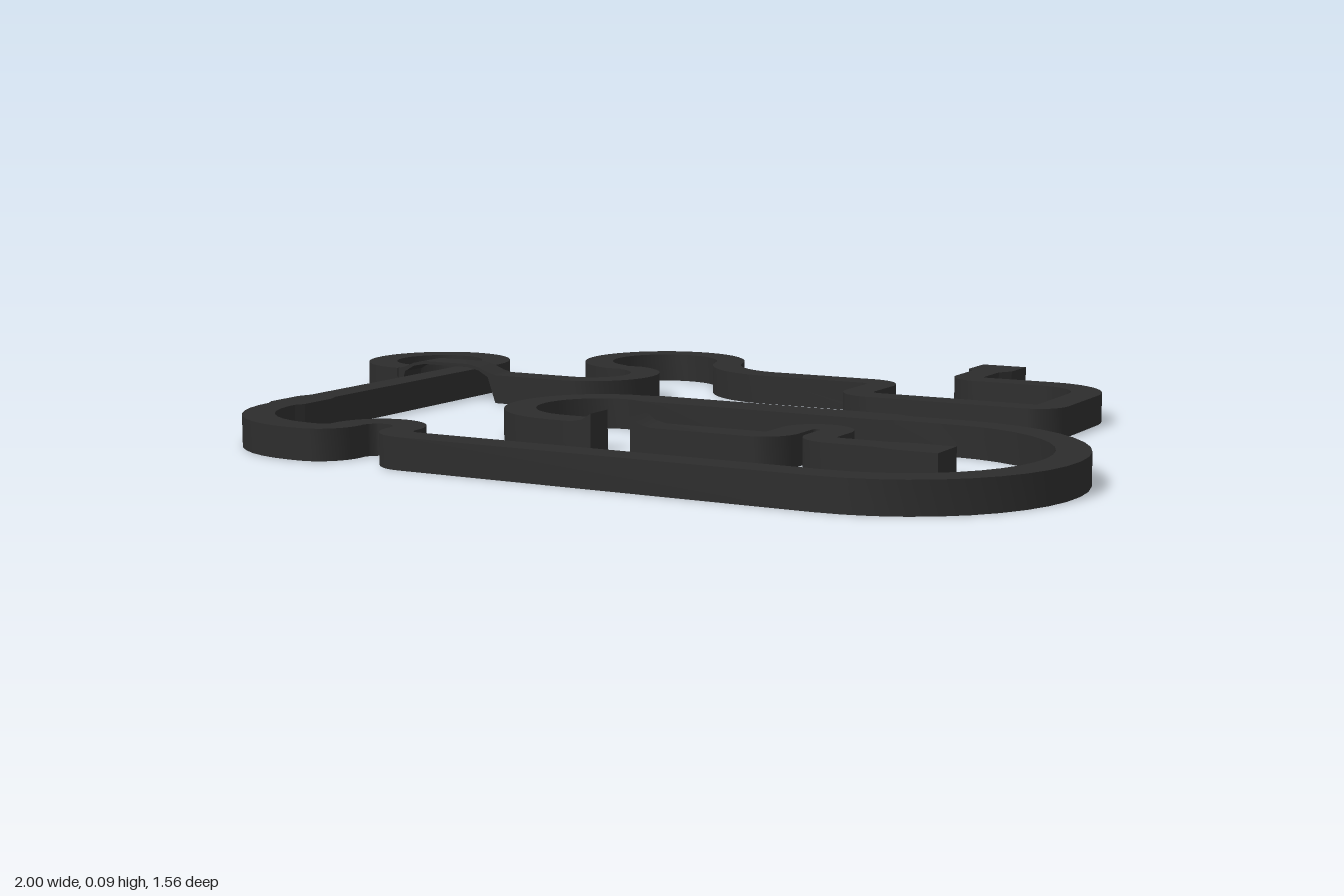
import * as THREE from 'three';
import { toCreasedNormals } from 'three/addons/utils/BufferGeometryUtils.js';

const HALF = 0.033, TOP = 0.064, WIDE = 0.044;

// Points are [x, z, halfWidth, topY, bottomY]; the last three are optional.
function arc(cx, cz, r, from, to) {
  const n = Math.max(6, Math.ceil(Math.abs(to - from) / 9));
  return Array.from({ length: n + 1 }, (_, i) => {
    const a = THREE.MathUtils.degToRad(from + (to - from) * i / n);
    return [cx + r * Math.cos(a), cz + r * Math.sin(a)];
  });
}

// Sweeps a rectangular section along a path lying on the ground
function sweep(path) {
  const pts = path.filter((p, i) => !i || Math.hypot(p[0] - path[i - 1][0], p[1] - path[i - 1][1]) > 1e-4);
  const rings = pts.map(([x, z, half = HALF, top = TOP, bottom = 0], i) => {
    const a = pts[Math.max(i - 1, 0)], b = pts[Math.min(i + 1, pts.length - 1)];
    const dir = (p, q) => new THREE.Vector2(q[0] - p[0], q[1] - p[1]).normalize();
    const d = dir(a, pts[i]).add(dir(pts[i], b)).normalize();
    const rx = -d.y * half, rz = d.x * half;
    return [
      [x - rx, top, z - rz], [x - rx, bottom, z - rz],
      [x + rx, bottom, z + rz], [x + rx, top, z + rz],
    ];
  });
  const pos = [];
  const quad = (a, b, c, d) => pos.push(...a, ...b, ...c, ...a, ...c, ...d);
  for (let i = 0; i < rings.length - 1; i++) {
    const a = rings[i], b = rings[i + 1];
    for (let k = 0; k < 4; k++) {
      const j = (k + 1) % 4;
      quad(a[j], a[k], b[k], b[j]);
    }
  }
  quad(...rings[0]);
  quad(...rings[rings.length - 1].slice().reverse());
  const geo = new THREE.BufferGeometry();
  geo.setAttribute('position', new THREE.Float32BufferAttribute(pos, 3));
  return toCreasedNormals(geo, Math.PI / 6);
}

export function createModel() {
  const group = new THREE.Group();
  const asphalt = new THREE.MeshStandardMaterial({ color: 0x2c2c2c });
  asphalt.name = 'dark asphalt';
  const add = (name, path) => {
    const mesh = new THREE.Mesh(sweep(path), asphalt);
    mesh.name = name;
    group.add(mesh);
  };

  // Start box, rear bends and the S-curve down to the bridge
  add('rearTrack', [
    [0.388, -0.78, 0.053], [0.388, -0.69, 0.053], [0.388, -0.66],
    ...arc(0.43, -0.57, 0.042, 180, 90),
    ...arc(0.59, -0.403, 0.125, -90, 0),
    ...arc(0.675, -0.222, 0.04, 0, 90),
    ...arc(0.322, -0.234, 0.052, 90, 180),
    ...arc(0.218, -0.331, 0.052, 0, -90),
    ...arc(-0.03, -0.563, 0.18, 90, 165),
    ...arc(-0.357, -0.48, 0.157, -15, -263),
    ...arc(-0.392, -0.213, 0.117, -83, 90),
    [-0.565, -0.097],
  ]);

  // Thin deck passing over the crossing
  add('bridge', [
    [-0.565, -0.097, HALF, TOP, 0], [-0.585, -0.097, HALF, 0.069, 0.058],
    [-0.61, -0.097, HALF, 0.079, 0.072], [-0.64, -0.097, HALF, 0.085, 0.078],
    [-0.76, -0.097, HALF, 0.085, 0.078], [-0.79, -0.097, HALF, 0.079, 0.072],
    [-0.815, -0.097, HALF, 0.069, 0.058], [-0.834, -0.097, HALF, TOP, 0],
  ]);

  // Left loop, long straight, front chicane, big bend and inner oval up to the jump
  add('mainTrack', [
    ...arc(-0.834, -0.231, 0.134, 90, 360),
    [-0.7, 0.39], [-0.7, 0.42, WIDE], [-0.7, 0.51, WIDE], [-0.7, 0.53],
    ...arc(-0.487, 0.53, 0.213, 180, 90),
    ...arc(-0.463, 0.69, 0.053, 90, 0),
    ...arc(-0.345, 0.685, 0.066, 180, 360),
    ...arc(-0.226, 0.69, 0.053, 180, 90),
    ...arc(0.645, 0.418, 0.325, 90, -90),
    [0.515, 0.093], [0.485, 0.093, WIDE], [-0.065, 0.093, WIDE], [-0.095, 0.093],
    ...arc(-0.1, 0.253, 0.16, -90, -270),
    [-0.045, 0.413], [-0.02, 0.413, HALF, 0.069], [0, 0.413, HALF, 0.082],
  ]);

  // Landing ramp, hairpin and finish box
  add('finishTrack', [
    [0.09, 0.413, HALF, 0.082], [0.11, 0.413, HALF, 0.069], [0.135, 0.413],
    ...arc(0.346, 0.371, 0.042, 90, 0),
    ...arc(0.429, 0.313, 0.041, 180, 360),
    ...arc(0.512, 0.371, 0.042, 180, 90),
    [0.61, 0.413], [0.66, 0.413, WIDE], [0.745, 0.413, WIDE],
  ]);

  return group;
}
